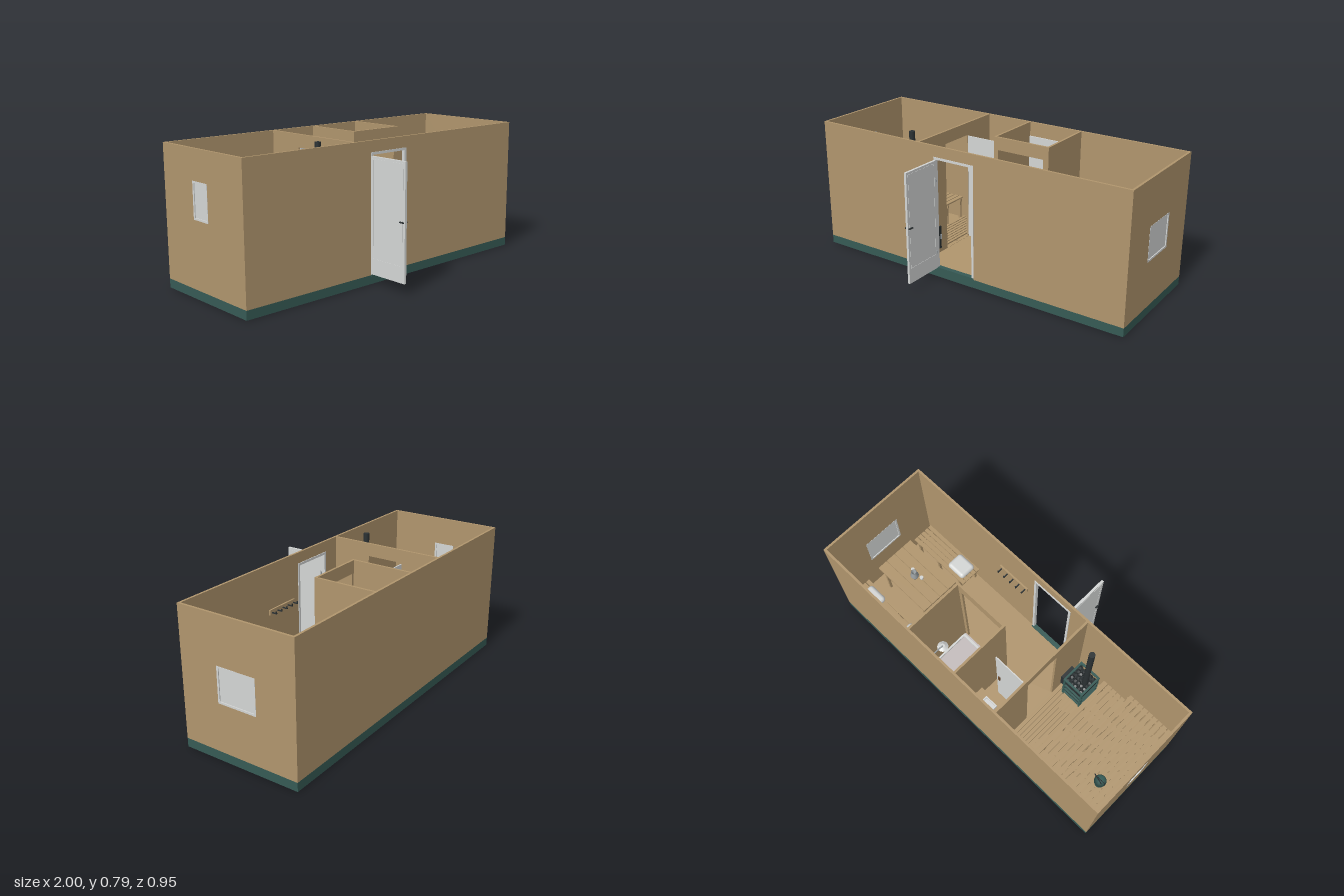
import * as THREE from 'three';
import { RoundedBoxGeometry } from 'three/addons/geometries/RoundedBoxGeometry.js';

const mat = (name, color, side = THREE.FrontSide) => {
  const m = new THREE.MeshStandardMaterial({ color, side });
  m.name = name;
  return m;
};

export function createModel() {
  const wood = mat('wood', 0xb0956d);
  const teal = mat('teal', 0x365a55);
  const white = mat('white', 0xd4d6d5);
  const dark = mat('charcoal', 0x2b3133);
  const steel = mat('steel', 0x9aa0a3);
  const brown = mat('brown', 0x6b4a2c);
  const tray = mat('trayGrey', 0xc4bcbc);

  const model = new THREE.Group();
  model.name = 'saunaCabin';
  const group = (name, parent = model) => {
    const g = new THREE.Group();
    g.name = name;
    parent.add(g);
    return g;
  };
  const add = (parent, name, geo, m, x = 0, y = 0, z = 0) => {
    const mesh = new THREE.Mesh(geo, m);
    mesh.name = name;
    mesh.position.set(x, y, z);
    parent.add(mesh);
    return mesh;
  };
  // box given by its limits on each axis
  const box = (p, name, m, x0, x1, y0, y1, z0, z1) =>
    add(p, name, new THREE.BoxGeometry(x1 - x0, y1 - y0, z1 - z0), m, (x0 + x1) / 2, (y0 + y1) / 2, (z0 + z1) / 2);
  const cyl = (p, name, m, r0, r1, h, x, y, z, n = 24) =>
    add(p, name, new THREE.CylinderGeometry(r0, r1, h, n), m, x, y, z);
  // upright slab a0..a1 by y0..y1 with rectangular holes [a0, a1, y0, y1]
  const slab = (a0, a1, y0, y1, holes, depth) => {
    const rect = (S, [l, r, b, t]) => new S().moveTo(l, b).lineTo(r, b).lineTo(r, t).lineTo(l, t).closePath();
    const s = rect(THREE.Shape, [a0, a1, y0, y1]);
    s.holes = holes.map((h) => rect(THREE.Path, h));
    return new THREE.ExtrudeGeometry(s, { depth, bevelEnabled: false });
  };
  const slabX = (p, name, m, x0, x1, ...r) =>
    add(p, name, slab(...r, x1 - x0).rotateY(-Math.PI / 2), m, x1);
  const slabZ = (p, name, m, z0, z1, ...r) => add(p, name, slab(...r, z1 - z0), m, 0, 0, z0);

  const F = 0.055, H = 0.785, T = 0.013, ZB = -0.475, ZF = 0.225;

  // base, floor and outer walls
  box(model, 'base', teal, -1, 1, 0, 0.05, ZB, ZF);
  box(model, 'floor', wood, -0.99, 0.99, 0.05, F, ZB + 0.005, ZF - 0.005);
  const walls = group('walls');
  box(walls, 'backWall', wood, -1, 1, 0.05, H, ZB, ZB + T);
  slabZ(walls, 'frontWall', wood, ZF - T, ZF, -1, 1, 0.05, H, [[-0.18, 0.08, 0.051, 0.72]]);
  const windows = [
    { name: 'left', x: 1, z0: -0.24, z1: -0.005, y0: 0.32, y1: 0.52 },
    { name: 'right', x: -1, z0: -0.205, z1: -0.075, y0: 0.42, y1: 0.62 },
  ];
  for (const w of windows) {
    const s = w.x, x0 = s > 0 ? 1 - T : -1, h = [w.z0, w.z1, w.y0, w.y1];
    slabX(walls, w.name + 'Wall', wood, x0, x0 + T, ZB + T, ZF - T, 0.05, H, [h]);
    const g = group(w.name + 'Window'), b = 0.011;
    const pane = [w.z0 + b, w.z1 - b, w.y0 + b, w.y1 - b];
    slabX(g, 'windowFrame', white, x0 - 0.001, x0 + T + 0.001, ...h, [pane]);
    box(g, 'windowPane', white, x0 + 0.004, x0 + 0.009, pane[2], pane[3], pane[0], pane[1]);
  }

  // partitions
  const parts = group('partitions');
  slabX(parts, 'saunaPartition', wood, -0.3, -0.287, ZB + T, ZF - T, F, H, [[-0.235, -0.02, F + 0.001, 0.71]]);
  for (const x of [-0.006, 0.336]) box(parts, 'showerSide', wood, x, x + T, F, H, ZB + T, -0.1);
  slabZ(parts, 'showerFront', wood, -0.113, -0.1, 0.007, 0.336, F, H, [[0.022, 0.315, F + 0.001, 0.71]]);

  // front entrance: frame, threshold and open door
  const entry = group('entrance');
  slabZ(entry, 'doorFrame', white, ZF - 0.017, ZF + 0.002, -0.182, 0.082, 0.051, 0.722, [[-0.168, 0.068, 0.052, 0.708]]);
  box(entry, 'threshold', teal, -0.182, 0.082, 0.04, 0.06, 0.2, ZF + 0.003);
  const door = group('openDoor', entry);
  box(door, 'doorLeaf', white, -0.182, -0.168, 0.057, 0.703, 0.227, 0.475);
  for (const x of [-0.1835, -0.168])
    slabX(door, 'doorPanelTrim', white, x, x + 0.0015, 0.237, 0.461, 0.143, 0.69, [[0.242, 0.456, 0.148, 0.685]]);
  for (const x of [-0.192, -0.166]) box(door, 'doorHandle', dark, x, x + 0.008, 0.382, 0.388, 0.443, 0.472);
  for (const y of [0.16, 0.59]) cyl(door, 'hinge', steel, 0.004, 0.004, 0.02, -0.166, y, 0.232, 12);

  // open sauna door
  const sd = group('saunaDoor');
  box(sd, 'saunaDoorLeaf', white, -0.285, -0.07, F + 0.003, 0.705, -0.241, -0.235);
  for (const z of [-0.248, -0.235]) box(sd, 'saunaDoorHandle', brown, -0.097, -0.085, 0.36, 0.41, z, z + 0.007);

  // slatted surface, slats along the given axis
  const slats = (p, name, axis, n, gap, x0, x1, y, z0, z1, t = 0.01) => {
    const span = axis === 'z' ? x1 - x0 : z1 - z0, step = span / n;
    for (let i = 0; i < n; i++) {
      const a = i * step + gap / 2, b = (i + 1) * step - gap / 2;
      if (axis === 'z') box(p, name, wood, x0 + a, x0 + b, y - t, y, z0, z1);
      else box(p, name, wood, x0, x1, y - t, y, z0 + a, z0 + b);
    }
  };

  // sauna benches and floor rack
  const sauna = group('saunaBenches');
  const tiers = [
    ['upperBench', 9, -0.985, -0.67, 0.34, 0.007],
    ['lowerBench', 7, -0.73, -0.49, 0.2, 0.006],
    ['floorRack', 8, -0.49, -0.305, 0.068, 0.006],
  ];
  for (const [name, n, x0, x1, y, gap] of tiers) {
    const g = group(name, sauna);
    slats(g, 'slat', 'z', n, gap, x0, x1, y, -0.46, 0.21, 0.008);
    for (const z of [-0.44, -0.3, -0.14, 0.03, 0.19]) {
      const under = y - 0.008;
      box(g, 'crossRail', wood, x0, x1, Math.max(F, under - 0.02), under, z - 0.006, z + 0.006);
      if (y > 0.1) box(g, 'benchLeg', wood, x1 - 0.02, x1 - 0.006, F, under, z - 0.007, z + 0.007);
    }
  }

  // water bucket with ladle on the upper bench
  const bucket = group('bucket');
  const bucketProfile = [[0, 0], [0.026, 0], [0.034, 0.06], [0.03, 0.06], [0.024, 0.006], [0, 0.006]];
  add(bucket, 'pail', new THREE.LatheGeometry(bucketProfile.map(([x, y]) => new THREE.Vector2(x, y)), 24), teal, -0.88, 0.34, -0.275);
  add(bucket, 'pailHandle', new THREE.TorusGeometry(0.032, 0.002, 6, 20, Math.PI), dark, -0.88, 0.4, -0.275);
  const ladle = cyl(bucket, 'ladle', dark, 0.003, 0.003, 0.1, -0.865, 0.4, -0.275, 8);
  ladle.rotation.z = -0.6;

  // stove with stones, flue and fire tunnel through the partition
  const stove = group('stove');
  const sx = -0.41, sz = 0.095;
  box(stove, 'stoveBody', dark, -0.475, -0.345, 0.075, 0.27, 0.03, 0.16);
  for (const x of [-0.48, -0.352]) for (const z of [0.022, 0.156])
    box(stove, 'stovePost', teal, x, x + 0.012, F, 0.32, z, z + 0.012);
  for (const y of [0.1, 0.16, 0.22, 0.308])
    add(stove, 'stoveBand', slab(-0.482, -0.338, 0.02, 0.17, [[-0.47, -0.35, 0.032, 0.158]], 0.012).rotateX(Math.PI / 2), teal, 0, y + 0.012, 0);
  for (let i = 0; i < 25; i++) {
    const stone = add(stove, 'stone', new THREE.DodecahedronGeometry(0.015), dark,
      sx + ((i % 5) - 2) * 0.024, 0.287 + (i * 7 % 5) * 0.003, sz + (Math.floor(i / 5) - 2) * 0.025);
    stone.rotation.set(i, i * 2, i * 3);
  }
  cyl(stove, 'flue', dark, 0.017, 0.017, 0.52, -0.437, 0.53, sz);
  box(stove, 'fireTunnel', dark, -0.35, -0.28, 0.1, 0.22, 0.05, 0.14);
  box(stove, 'fireDoor', dark, -0.28, -0.272, 0.09, 0.23, 0.055, 0.135);
  box(stove, 'fireDoorHandle', steel, -0.272, -0.265, 0.15, 0.18, 0.06, 0.066);

  // firewood crate
  const crate = group('firewoodCrate');
  box(crate, 'crateBase', dark, -0.268, -0.215, F, 0.065, 0.165, 0.2);
  for (const x of [-0.268, -0.218]) box(crate, 'crateSide', dark, x, x + 0.004, F, 0.13, 0.165, 0.2);
  for (let i = 0; i < 6; i++)
    cyl(crate, 'log', wood, 0.007, 0.007, 0.035, -0.256 + (i % 3) * 0.015, 0.075 + Math.floor(i / 3) * 0.016, 0.182, 8).rotation.x = Math.PI / 2;

  // wash stand
  const wash = group('washStand');
  box(wash, 'counter', wood, -0.255, -0.055, 0.355, 0.37, -0.46, -0.345);
  for (const x of [-0.255, -0.067]) box(wash, 'counterSide', wood, x, x + 0.012, F, 0.355, -0.46, -0.35);
  slabZ(wash, 'basinRim', white, 0, 0.018, -0.195, -0.113, -0.03, 0.03, [[-0.188, -0.12, -0.023, 0.023]]).rotation.x = -Math.PI / 2;
  wash.children[wash.children.length - 1].position.set(0, 0.37, -0.395);
  box(wash, 'basinFloor', white, -0.19, -0.118, 0.37, 0.374, -0.42, -0.37);
  cyl(wash, 'tap', steel, 0.004, 0.004, 0.05, -0.154, 0.395, -0.435, 12);
  box(wash, 'spout', steel, -0.157, -0.151, 0.415, 0.42, -0.436, -0.405);

  // shower
  const shower = group('shower');
  box(shower, 'showerPanel', white, 0.008, 0.335, F, 0.7, -0.462, -0.455);
  box(shower, 'showerTray', tray, 0.01, 0.333, F, 0.072, -0.454, -0.116);
  slabZ(shower, 'trayRim', white, 0, 0.012, 0.01, 0.333, 0.128, 0.454, [[0.022, 0.321, 0.142, 0.442]]).rotation.x = -Math.PI / 2;
  shower.children[shower.children.length - 1].position.set(0, 0.072, 0);
  cyl(shower, 'riser', steel, 0.004, 0.004, 0.36, 0.182, 0.5, -0.447, 12);
  box(shower, 'showerArm', steel, 0.179, 0.185, 0.675, 0.681, -0.45, -0.385);
  cyl(shower, 'showerHead', white, 0.012, 0.03, 0.012, 0.182, 0.67, -0.385);
  box(shower, 'mixer', steel, 0.157, 0.207, 0.36, 0.372, -0.455, -0.435);

  // slatted seats with pillows
  const seat = (name, x0, x1, z0, z1, pillows) => {
    const g = group(name);
    slats(g, 'seatSlat', 'x', 5, 0.006, x0, x1, 0.2, z0, z1);
    for (const x of [x0 + 0.03, (x0 + x1) / 2, x1 - 0.045]) {
      box(g, 'seatRail', wood, x, x + 0.015, 0.172, 0.19, z0, z1);
      for (const z of [z0 + 0.005, z1 - 0.02]) box(g, 'seatLeg', wood, x, x + 0.015, F, 0.172, z, z + 0.015);
    }
    for (const x of pillows)
      add(g, 'pillow', new RoundedBoxGeometry(0.13, 0.044, 0.11, 5, 0.021), white, x, 0.222, (z0 + z1) / 2);
  };
  seat('backBench', 0.39, 0.96, -0.46, -0.312, [0.5, 0.845]);
  seat('frontBench', 0.53, 0.96, 0.06, 0.205, [0.615]);

  // dining table with jug and cups
  const table = group('table');
  slats(table, 'tableBoard', 'x', 4, 0.003, 0.53, 0.925, 0.31, -0.245, 0.015, 0.014);
  for (const x of [0.555, 0.885]) {
    box(table, 'tableRail', wood, x, x + 0.015, 0.275, 0.296, -0.235, 0.005);
    for (const z of [-0.23, -0.015]) box(table, 'tableLeg', wood, x, x + 0.015, F, 0.275, z, z + 0.015);
  }
  const jugProfile = [[0, 0], [0.02, 0], [0.025, 0.02], [0.014, 0.05], [0.017, 0.062], [0.013, 0.062], [0.01, 0.05], [0, 0.03]];
  add(table, 'jug', new THREE.LatheGeometry(jugProfile.map(([x, y]) => new THREE.Vector2(x, y)), 24), steel, 0.73, 0.31, -0.13);
  for (const x of [0.69, 0.765]) cyl(table, 'cup', white, 0.011, 0.009, 0.022, x, 0.321, -0.112);

  // coat rack on the inside of the front wall
  const rack = group('coatRack');
  box(rack, 'rackBoard', wood, 0.13, 0.345, 0.5, 0.53, 0.202, 0.212);
  for (let i = 0; i < 5; i++) {
    const x = 0.145 + i * 0.046;
    box(rack, 'hook', dark, x - 0.003, x + 0.003, 0.51, 0.516, 0.175, 0.203);
    box(rack, 'hookTip', dark, x - 0.003, x + 0.003, 0.51, 0.526, 0.17, 0.176);
  }
  return model;
}
